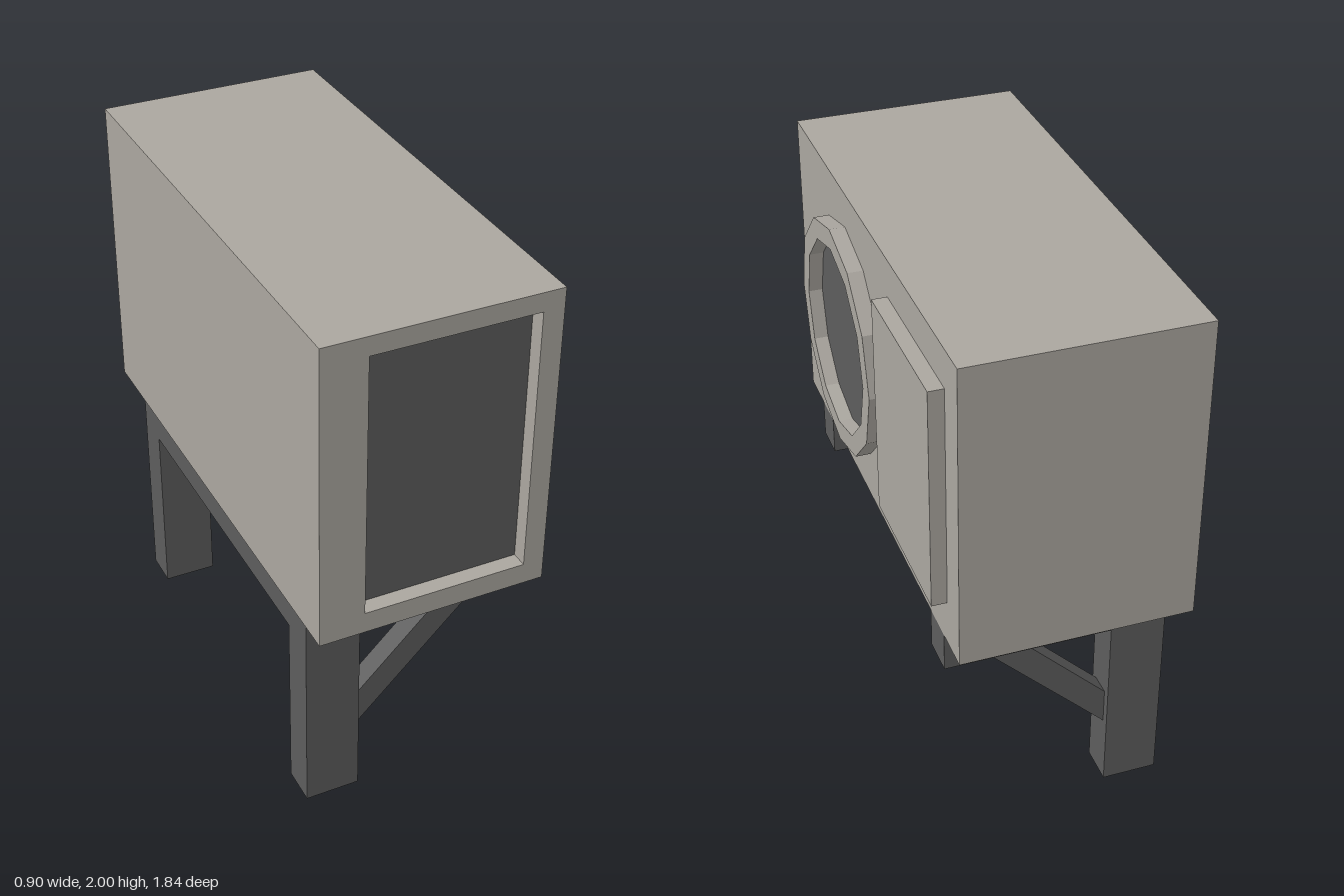
import * as THREE from 'three';

const casing = new THREE.MeshStandardMaterial({ color: 0xaaa69f, flatShading: true });
const dark = new THREE.MeshStandardMaterial({ color: 0x5c5c5c, flatShading: true });

export function createModel() {
  const model = new THREE.Group();

  const add = (name, geometry, material) => {
    const mesh = new THREE.Mesh(geometry, material);
    mesh.name = name;
    model.add(mesh);
    return mesh;
  };

  // Box given by its limits on each axis
  const box = (name, [x0, x1], [y0, y1], [z0, z1], material) =>
    add(name, new THREE.BoxGeometry(x1 - x0, y1 - y0, z1 - z0), material)
      .position.set((x0 + x1) / 2, (y0 + y1) / 2, (z0 + z1) / 2);

  const polygon = (points, Type = THREE.Shape) =>
    new Type(points.map(([x, y]) => new THREE.Vector2(x, y)));
  const rectangle = (x0, x1, y0, y1, Type) =>
    polygon([[x0, y0], [x1, y0], [x1, y1], [x0, y1]], Type);
  const extrude = (shape, depth) =>
    new THREE.ExtrudeGeometry(shape, { depth, bevelEnabled: false });

  // Casing with a recessed grille in the front end
  box('casing', [-0.45, 0.39], [0.86, 2], [-0.92, 0.855], casing);
  const rim = rectangle(-0.45, 0.39, 0.86, 2);
  rim.holes.push(rectangle(-0.285, 0.313, 0.94, 1.93, THREE.Path));
  add('grilleRim', extrude(rim, 0.065), casing).position.z = 0.855;
  box('grille', [-0.285, 0.313], [0.94, 1.93], [0.85, 0.86], dark);

  // Twelve-sided fan ring and fan opening on the left side
  const ringPoints = (r) => Array.from({ length: 12 }, (_, i) => {
    const a = (i * Math.PI) / 6;
    return [r * Math.cos(a), r * Math.sin(a)];
  });
  const ring = polygon(ringPoints(0.437));
  ring.holes.push(polygon(ringPoints(0.36), THREE.Path));
  const fan = [
    add('fanRing', extrude(ring, 0.057), casing),
    add('fanOpening', extrude(polygon(ringPoints(0.36)), 0.005), dark),
  ];
  for (const part of fan) {
    part.rotation.y = Math.PI / 2;
    part.position.set(0.39, 1.43, 0.295);
  }

  // Raised access panel beside the fan
  box('accessPanel', [0.39, 0.445], [1.03, 1.86], [-0.8, -0.21], casing);

  // Stand: rear rail, and a post, arm and diagonal brace at each end
  box('rail', [-0.425, -0.222], [0.71, 0.86], [-0.62, 0.62], dark);
  const brace = polygon([[-0.222, 0.26], [0.23, 0.71], [0.088, 0.71], [-0.222, 0.4]]);
  for (const side of [-1, 1]) {
    const z = side * 0.69;
    const span = [z - 0.07, z + 0.07];
    box('post', [-0.425, -0.222], [0, 0.71], span, dark);
    box('arm', [-0.425, 0.39], [0.71, 0.86], span, dark);
    add('brace', extrude(brace, 0.08), dark).position.z = z - 0.04;
  }

  return model;
}
